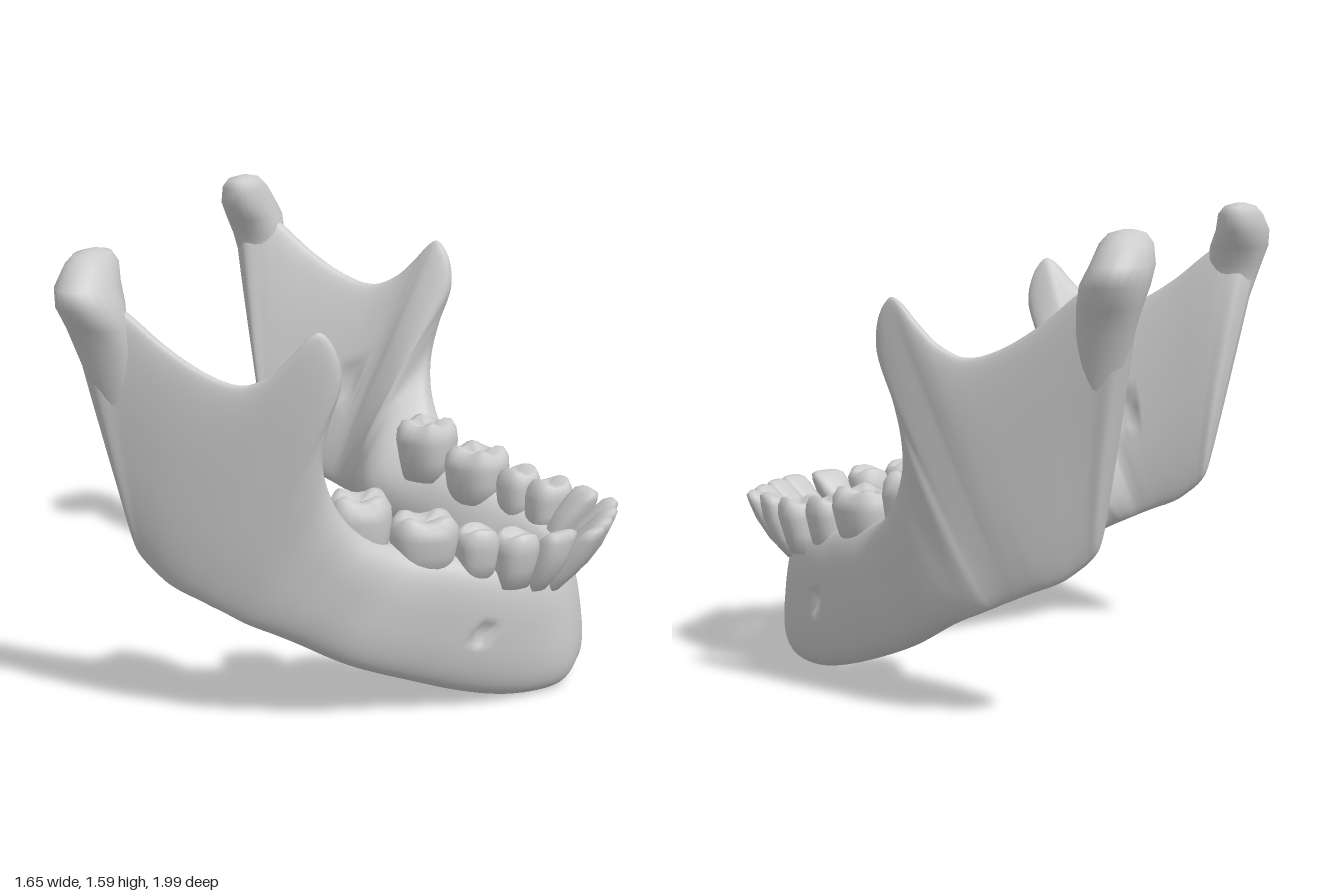
import * as THREE from 'three';

const material = new THREE.MeshStandardMaterial({ color: 0xcccccc, roughness: 0.8 });
const rad = THREE.MathUtils.degToRad;
const lerp = THREE.MathUtils.lerp;
const smooth = THREE.MathUtils.smoothstep;
const spow = (v, e) => Math.sign(v) * Math.pow(Math.abs(v), e);

// Skin a list of equal rings and close both ends with fans.
function loft(rings) {
  const n = rings[0].length, pos = [], idx = [];
  rings.forEach(r => r.forEach(p => pos.push(p.x, p.y, p.z)));
  for (let i = 0; i < rings.length - 1; i++) {
    for (let j = 0; j < n; j++) {
      const k = (j + 1) % n, a = i * n, b = a + n;
      idx.push(a + j, a + k, b + j, a + k, b + k, b + j);
    }
  }
  [0, rings.length - 1].forEach((i, end) => {
    const c = new THREE.Vector3();
    rings[i].forEach(p => c.addScaledVector(p, 1 / n));
    const ci = pos.length / 3;
    pos.push(c.x, c.y, c.z);
    for (let j = 0; j < n; j++) {
      const a = i * n + j, b = i * n + (j + 1) % n;
      end ? idx.push(ci, a, b) : idx.push(ci, b, a);
    }
  });
  const g = new THREE.BufferGeometry();
  g.setAttribute('position', new THREE.Float32BufferAttribute(pos, 3));
  g.setIndex(idx);
  g.computeVertexNormals();
  return g;
}

// Copy a geometry across z = 0 with its faces turned outward again.
function mirrored(geometry) {
  const g = geometry.clone().scale(1, 1, -1), a = g.index.array;
  for (let i = 0; i < a.length; i += 3) [a[i], a[i + 1]] = [a[i + 1], a[i]];
  g.computeVertexNormals();
  return g;
}

// Upright slices of the body, chin to back molars:
// bottom xyz, top xyz, half thickness at bottom and top, inward swelling, facing angle
const body = [
  [0.615, 0.015, 0, 0.60, 0.455, 0, 0.12, 0.072, 0.03, 90],
  [0.595, 0.00, 0.11, 0.595, 0.455, 0.11, 0.115, 0.072, 0.03, 80],
  [0.49, 0.01, 0.23, 0.55, 0.465, 0.23, 0.095, 0.082, 0.02, 58],
  [0.36, 0.05, 0.34, 0.46, 0.50, 0.33, 0.09, 0.085, 0.02, 42],
  [0.20, 0.115, 0.45, 0.32, 0.55, 0.405, 0.08, 0.10, 0.03, 36],
  [0.03, 0.20, 0.58, 0.18, 0.59, 0.48, 0.08, 0.11, 0.05, 32],
  [-0.12, 0.295, 0.67, 0.09, 0.64, 0.57, 0.08, 0.115, 0.09, 28],
  [-0.19, 0.333, 0.703, 0.04, 0.72, 0.65, 0.07, 0.09, 0.125, 23],
  [-0.24, 0.357, 0.725, 0.005, 0.83, 0.71, 0.06, 0.065, 0.13, 18]
];
// Ramus slices: bottom xy, top xy, fanning over the coronoid, the notch and the neck
const ramus = [
  [-0.28, 0.377, 0.00, 0.95], [-0.31, 0.391, 0.03, 1.08], [-0.335, 0.403, 0.07, 1.20],
  [-0.355, 0.412, 0.06, 1.30], [-0.37, 0.419, 0.02, 1.365], [-0.385, 0.426, -0.02, 1.355],
  [-0.405, 0.435, -0.08, 1.29], [-0.43, 0.446, -0.15, 1.225], [-0.46, 0.458, -0.24, 1.19],
  [-0.49, 0.47, -0.35, 1.22], [-0.53, 0.49, -0.48, 1.30], [-0.57, 0.52, -0.60, 1.40],
  [-0.605, 0.55, -0.68, 1.45], [-0.632, 0.585, -0.75, 1.43], [-0.648, 0.63, -0.785, 1.36]
].map(([bx, by, tx, ty], i, all) => {
  const front = smooth(i, -1, 6), back = smooth(i, 8, 13), last = i === all.length - 1;
  return [bx, by, lerp(0.738, 0.745, front) - 0.02 * back, tx, ty, lerp(0.755, 0.83, front) + 0.02 * back,
    last ? 0.022 : 0.052, last ? 0.022 : lerp(0.055, 0.038, front) + 0.014 * back,
    last ? 0 : lerp(0.125, 0.015, front), lerp(13, 1, front)];
});

// Small openings for nerves: centre xy, radius, depth, side (1 outer, -1 inner)
const pits = [[0.45, 0.28, 0.027, 0.045, 1], [-0.32, 0.82, 0.06, 0.035, -1]];

function jawBone() {
  const half = [...body, ...ramus];
  const flip = ([bx, by, bz, tx, ty, tz, tb, tt, inn, a]) => [bx, by, -bz, tx, ty, -tz, tb, tt, inn, 180 - a];
  const slices = [...half.slice(1).reverse().map(flip), ...half];
  const at = i => slices[THREE.MathUtils.clamp(i, 0, slices.length - 1)];
  const cubic = (a, b, c, d, t) => b + 0.5 * t * (c - a + t * (2 * a - 5 * b + 4 * c - d + t * (3 * (b - c) + d - a)));
  const rings = [], steps = 7, sides = 60;
  for (let i = 0; i <= (slices.length - 1) * steps; i++) {
    const s = Math.floor(i / steps), t = (i % steps) / steps;
    const v = at(s).map((b, c) => cubic(at(s - 1)[c], b, at(s + 1)[c], at(s + 2)[c], t));
    const low = new THREE.Vector3(v[0], v[1], v[2]), high = new THREE.Vector3(v[3], v[4], v[5]);
    const out = new THREE.Vector3(Math.sin(rad(v[9])), 0, Math.cos(rad(v[9])));
    const ring = [];
    for (let j = 0; j < sides; j++) {
      const f = j / sides * Math.PI * 2;
      const u = spow(Math.cos(f), 0.77), h = (spow(Math.sin(f), 0.77) + 1) / 2;
      const p = low.clone().lerp(high, h);
      let push = u * lerp(v[6], v[7], h) + Math.min(0, u) * v[8] * Math.sin(Math.PI * Math.pow(h, 0.8));
      for (const [x, y, r, depth, side] of pits) {
        const d2 = ((p.x + out.x * push - x) ** 2 + (p.y - y) ** 2) / (r * r);
        if (u * side > 0 && d2 < 1) push -= side * depth * (1 - d2);
      }
      ring.push(p.addScaledVector(out, push));
    }
    rings.push(ring);
  }
  return loft(rings);
}

// Condyle with its neck: height, centre x and z, radius along x and z
function condyle() {
  const rows = [
    [0.98, -0.65, 0.80, 0.03, 0.02], [1.15, -0.667, 0.822, 0.07, 0.042], [1.28, -0.685, 0.85, 0.09, 0.058],
    [1.36, -0.70, 0.862, 0.1, 0.08], [1.43, -0.718, 0.865, 0.105, 0.13], [1.49, -0.735, 0.84, 0.095, 0.15],
    [1.55, -0.735, 0.80, 0.08, 0.115], [1.58, -0.735, 0.79, 0.055, 0.09], [1.59, -0.735, 0.79, 0.02, 0.04]
  ];
  return loft(rows.map(([y, x, z, rx, rz]) => Array.from({ length: 24 }, (_, j) => {
    const f = j / 24 * Math.PI * 2;
    return new THREE.Vector3(x + rx * Math.cos(f), y, z - rz * Math.sin(f));
  })));
}

// Tooth crowns: base xyz, tip xyz, facing angle, width along the arch, depth across it
const teeth = [
  ['centralIncisor', 0.635, 0.375, 0.054, 0.80, 0.60, 0.06, 86, 0.114, 0.125],
  ['lateralIncisor', 0.62, 0.375, 0.155, 0.785, 0.60, 0.172, 74, 0.114, 0.125],
  ['canine', 0.58, 0.40, 0.235, 0.685, 0.61, 0.26, 55, 0.135, 0.145],
  ['firstPremolar', 0.52, 0.43, 0.31, 0.545, 0.62, 0.32, 45, 0.148, 0.16],
  ['secondPremolar', 0.41, 0.46, 0.36, 0.42, 0.64, 0.37, 32, 0.145, 0.15],
  ['firstMolar', 0.245, 0.49, 0.425, 0.255, 0.69, 0.43, 25, 0.23, 0.21],
  ['secondMolar', 0.05, 0.54, 0.50, 0.05, 0.765, 0.49, 20, 0.215, 0.215]
];

function tooth(name, bx, by, bz, tx, ty, tz, angle, width, depth) {
  const blade = /Incisor|canine/.test(name), molar = /Molar/.test(name);
  const out = new THREE.Vector3(Math.sin(rad(angle)), 0, Math.cos(rad(angle)));
  const along = new THREE.Vector3(-out.z, 0, out.x);
  // height along the crown, width share, depth share, cusp height
  const rows = blade
    ? [[0, 0.58, 0.65, 0], [0.3, 0.8, 0.9, 0], [0.6, 0.95, 0.85, 0], [0.85, 1, 0.6, 0], [0.96, 0.92, 0.45, 0], [1, 0.68, 0.22, 0]]
    : [[0, 0.8, 0.75, 0], [0.35, 0.92, 0.9, 0], [0.65, 1, 1, 0], [0.82, 0.97, 0.95, 0.005], [0.95, 0.82, 0.76, 0.01],
      [0.97, 0.6, 0.55, 0.01], [0.9, 0.3, 0.25, 0.005], [0.88, 0.06, 0.06, 0]];
  const low = new THREE.Vector3(bx, by, bz), high = new THREE.Vector3(tx, ty, tz);
  return loft(rows.map(([k, w, d, cusp]) => Array.from({ length: 24 }, (_, j) => {
    const f = j / 24 * Math.PI * 2;
    const bump = molar ? -Math.cos(4 * f) : Math.cos(2 * f);
    const p = low.clone().lerp(high, k);
    p.addScaledVector(out, spow(Math.cos(f), 0.8) * d * depth / 2);
    p.addScaledVector(along, -spow(Math.sin(f), 0.8) * w * width / 2);
    p.y += cusp * bump;
    return p;
  })));
}

export function createModel() {
  const model = new THREE.Group();
  model.name = 'lowerJaw';
  const add = (geometry, name) => {
    const mesh = new THREE.Mesh(geometry, material);
    mesh.name = name;
    model.add(mesh);
  };
  const addPair = (geometry, name) => {
    add(geometry, name + 'Left');
    add(mirrored(geometry), name + 'Right');
  };
  add(jawBone(), 'jawBone');
  addPair(condyle(), 'condyle');
  teeth.forEach(t => addPair(tooth(...t), t[0]));
  return model;
}
